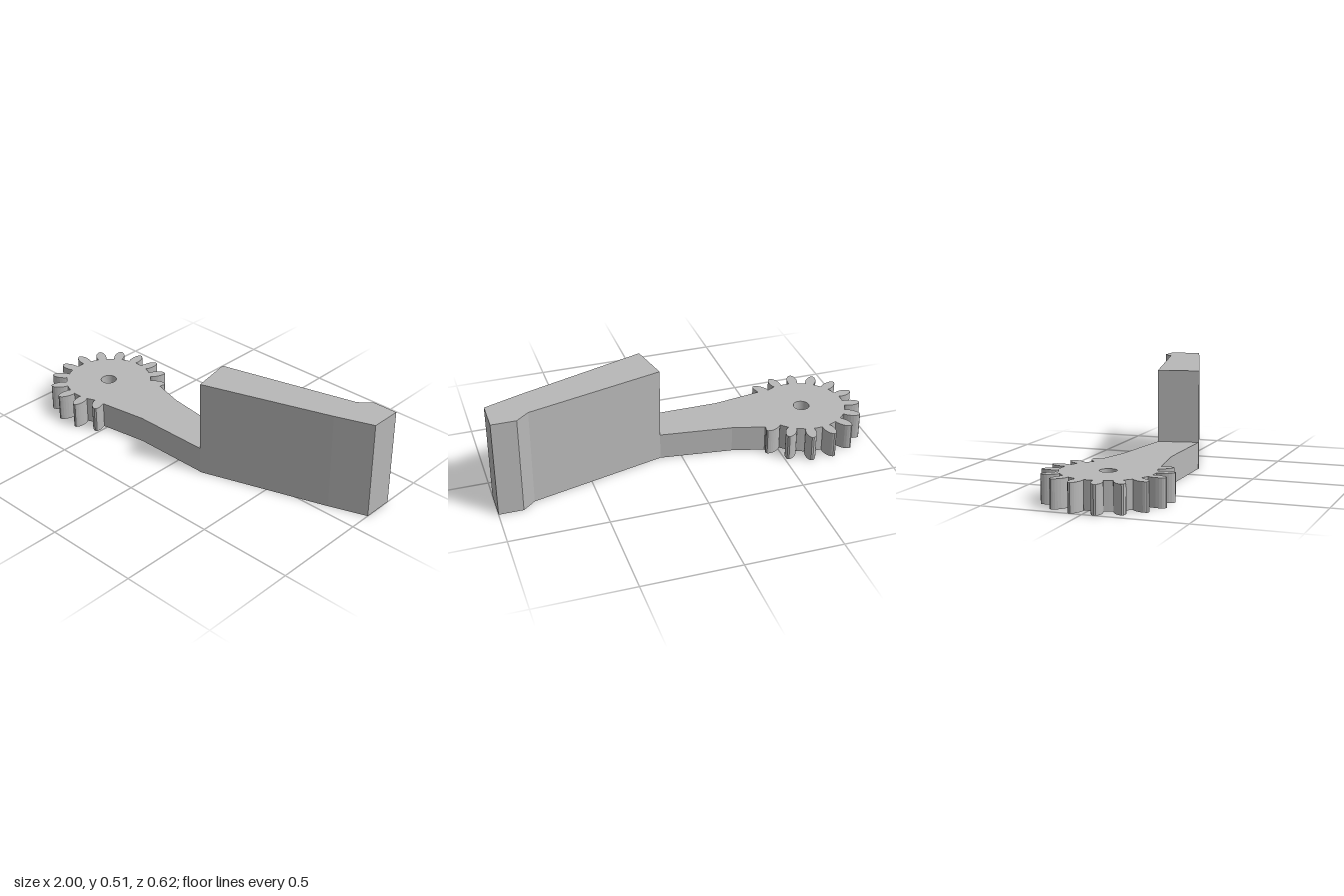
import * as THREE from 'three';

const GEAR_X = -0.69;     // gear axis
const TEETH = 16;
const LOW = 0.14;         // thickness of gear and arm
const HIGH = 0.515;       // height of jaw

// Tooth half-profile from root to tip: [radius, half width]
const FLANK = [[0.23, 0.021], [0.24, 0.0255], [0.256, 0.027], [0.272, 0.0265],
  [0.288, 0.023], [0.3, 0.018], [0.309, 0.0115], [0.3145, 0.005]];

// Extrude a plan outline (x right, y towards the back) upwards from the ground
function slab(name, points, height, material, hole) {
  const shape = new THREE.Shape(points.map(([x, y]) => new THREE.Vector2(x, y)));
  if (hole) shape.holes.push(hole);
  const geometry = new THREE.ExtrudeGeometry(shape, { depth: height, bevelEnabled: false, curveSegments: 24 });
  geometry.rotateX(-Math.PI / 2);
  const mesh = new THREE.Mesh(geometry, material);
  mesh.name = name;
  return mesh;
}

// Toothed part of the outline, counter-clockwise; the arm replaces three teeth
function gearOutline() {
  const points = [];
  const step = (Math.PI * 2) / TEETH;
  const first = 1, last = TEETH - 3;
  for (let i = first; i <= last; i++) {
    const angle = (i + 0.5) * step;
    const place = (r, w) => [
      GEAR_X + r * Math.cos(angle) - w * Math.sin(angle),
      r * Math.sin(angle) + w * Math.cos(angle)];
    for (const [r, w] of FLANK) {
      if (i > first || r > 0.29) points.push(place(r, -w));
    }
    for (const [r, w] of [...FLANK].reverse()) {
      if (i < last || r > 0.265) points.push(place(r, w));
    }
    // root between neighbouring teeth
    if (i < last) {
      const a = angle + step / 2;
      points.push([GEAR_X + 0.23 * Math.cos(a), 0.23 * Math.sin(a)]);
    }
  }
  return points;
}

export function createModel() {
  const group = new THREE.Group();
  group.name = 'gearedGripperFinger';
  const grey = new THREE.MeshStandardMaterial({ color: 0xb8b8b8 });
  grey.name = 'grey';

  // Gear and tapered arm in one plate, with the pivot hole
  const hole = new THREE.Path();
  hole.absarc(GEAR_X, 0, 0.042, 0, Math.PI * 2, true);
  const arm = [[-0.265, -0.16], [0.155, -0.16], [0.11, 0.048], [-0.265, 0.095], [-0.43, 0.14]];
  group.add(slab('gearArm', [...arm, ...gearOutline(), [-0.52, -0.198]], LOW, grey, hole));

  // Tall angled jaw with a squared tip
  const jaw = [[0.155, -0.163], [0.81, 0.05], [1, 0.118], [1, 0.279],
    [0.875, 0.279], [0.81, 0.225], [0.11, 0.048]];
  group.add(slab('jaw', jaw, HIGH, grey));
  return group;
}
